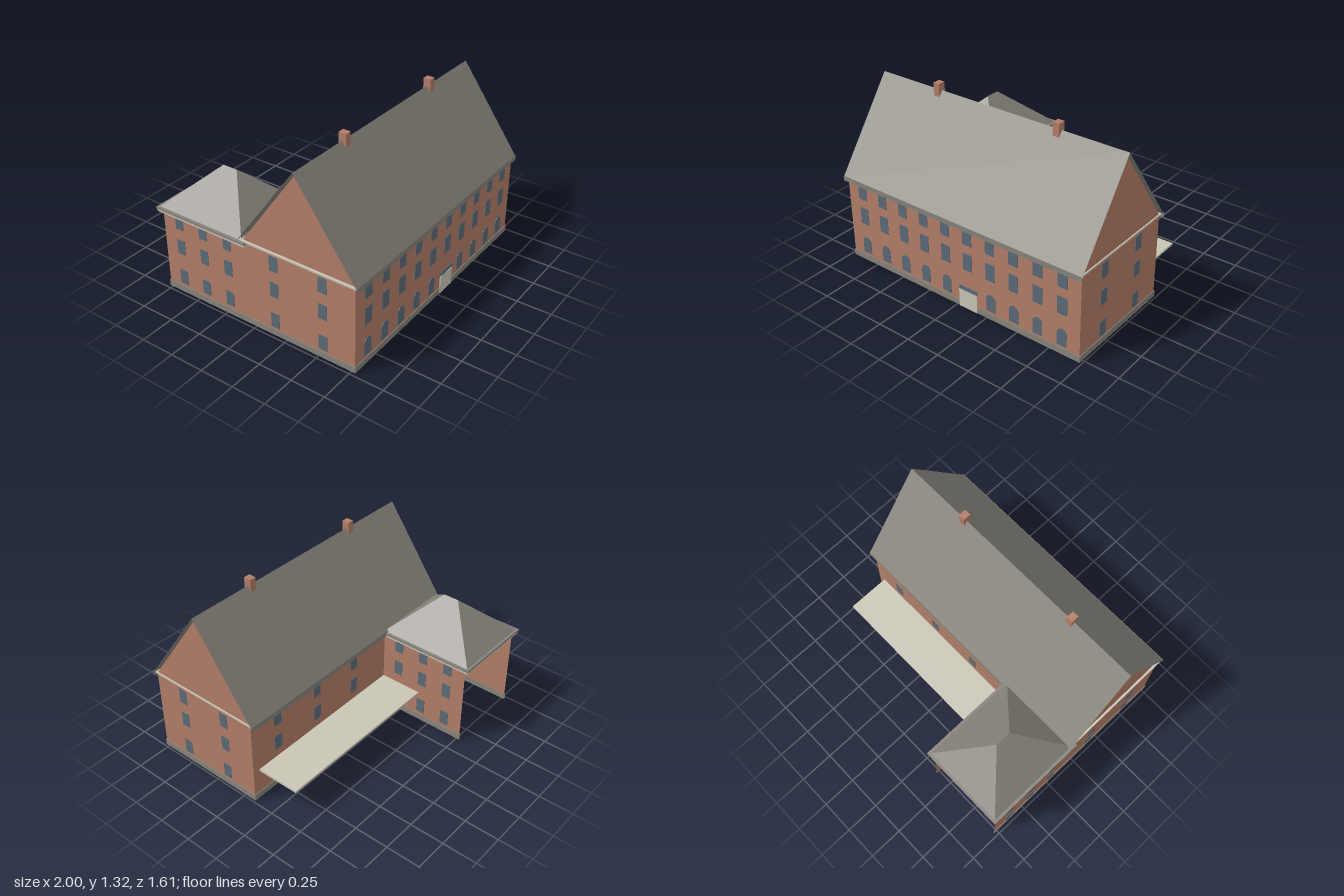
import * as THREE from 'three';

const mat = (name, color) => {
  const m = new THREE.MeshStandardMaterial({ color, side: THREE.DoubleSide });
  m.name = name;
  return m;
};

export function createModel() {
  const brick = mat('brick', 0xb37e69);
  const slate = mat('slate grey', 0x87837b);
  const glass = mat('window blue', 0x5b6b78);
  const cream = mat('cream', 0xc9c5b6);

  const model = new THREE.Group();
  model.name = 'building';
  const group = (name) => {
    const g = new THREE.Group();
    g.name = name;
    model.add(g);
    return g;
  };
  const add = (parent, name, geo, material) => {
    const m = new THREE.Mesh(geo, material);
    m.name = name;
    parent.add(m);
    return m;
  };
  // Box given by its lower and upper limits
  const box = (parent, name, material, x0, x1, y0, y1, z0, z1) =>
    add(parent, name, new THREE.BoxGeometry(x1 - x0, y1 - y0, z1 - z0), material)
      .position.set((x0 + x1) / 2, (y0 + y1) / 2, (z0 + z1) / 2);
  // Flat convex polygons, each fanned into triangles
  const sheet = (parent, name, material, ...polys) => {
    const pos = [];
    for (const p of polys)
      for (let i = 1; i < p.length - 1; i++) pos.push(...p[0], ...p[i], ...p[i + 1]);
    const geo = new THREE.BufferGeometry();
    geo.setAttribute('position', new THREE.Float32BufferAttribute(pos, 3));
    geo.computeVertexNormals();
    return add(parent, name, geo, material);
  };

  const L = -0.97, R = 0.98, F = 0.775, B = -0.085; // main block
  const WR = -0.38, WB = -0.77;                     // rear wing
  const EAVE = 0.635, RIDGE_Z = 0.345;

  // Brick shell, open underneath and at the back of the wing
  const walls = group('walls');
  const wallX = (name, x0, x1, z) => sheet(walls, name, brick,
    [[x0, 0, z], [x1, 0, z], [x1, EAVE, z], [x0, EAVE, z]]);
  const wallZ = (name, x, z0, z1) => sheet(walls, name, brick,
    [[x, 0, z0], [x, 0, z1], [x, 0.62, z1], [x, 0.62, z0]]);
  wallX('frontWall', L, R, F);
  wallX('backWall', R, L, B);
  sheet(walls, 'leftGableWall', brick,
    [[R, 0, F], [R, 0, B], [R, EAVE, B], [R, 1.24, RIDGE_Z], [R, EAVE, F]]);
  sheet(walls, 'rightGableWall', brick,
    [[L, 0, B], [L, 0, F], [L, EAVE, F], [L, 1.24, RIDGE_Z], [L, EAVE, B]]);
  wallZ('wingInnerWall', WR, B, WB);
  wallZ('wingOuterWall', L, WB, B);

  // Stone plinth, interrupted at the door
  const plinth = group('plinth');
  const P = 0.045, T = 0.005;
  box(plinth, 'plinthFrontRight', slate, L - T, 0.022, 0, P, F, F + T);
  box(plinth, 'plinthFrontLeft', slate, 0.172, R + T, 0, P, F, F + T);
  box(plinth, 'plinthLeft', slate, R, R + T, 0, P, B - T, F + T);
  box(plinth, 'plinthBack', slate, L, R + T, 0, P, B - T, B);
  box(plinth, 'plinthRight', slate, L - T, L, 0, P, WB - T, F + T);
  box(plinth, 'plinthWing', slate, WR, WR + T, 0, P, WB - T, B);

  // Front windows: two rectangular rows over one arched row
  const windows = group('windows');
  const arch = new THREE.Shape();
  arch.moveTo(-0.037, 0);
  arch.lineTo(0.037, 0);
  arch.lineTo(0.037, 0.092);
  arch.absarc(0, 0.092, 0.037, 0, Math.PI, false);
  arch.lineTo(-0.037, 0);
  const archGeo = new THREE.ExtrudeGeometry(arch, { depth: 0.006, bevelEnabled: false, curveSegments: 10 });
  for (let i = 0; i < 10; i++) {
    const x = -0.837 + i * 0.187;
    for (const y of [0.3, 0.495])
      box(windows, 'frontWindow', glass, x - 0.037, x + 0.037, y, y + 0.128, F + 0.001, F + 0.004);
    if (i !== 5) add(windows, 'archedWindow', archGeo, glass).position.set(x, 0.062, F - 0.003);
  }
  // Side windows, shared by both gables and both wing walls
  const sideWindow = (x, dir, z, y) => {
    const a = x + dir * 0.001, b = x + dir * 0.004;
    box(windows, 'sideWindow', glass, Math.min(a, b), Math.max(a, b), y, y + 0.111, z - 0.033, z + 0.033);
  };
  for (const y of [0.062, 0.3, 0.496])
    for (const z of [0.534, 0.159]) {
      sideWindow(R, 1, z, y);
      sideWindow(L, -1, z, y);
    }
  for (const y of [0.07, 0.311, 0.505])
    for (const z of [-0.219, -0.425, -0.631]) {
      sideWindow(WR, 1, z, y);
      sideWindow(L, -1, z, y);
    }
  // Back windows
  for (let i = -2; i <= 2; i++)
    for (const y of [0.062, 0.3, 0.496]) {
      const x = -0.03 + i * 0.385;
      box(windows, 'backWindow', glass, x - 0.033, x + 0.033, y, y + 0.111, B - 0.004, B - 0.001);
    }

  // Entrance
  const entrance = group('entrance');
  box(entrance, 'door', cream, 0.022, 0.172, 0, 0.137, F + 0.001, F + 0.008);
  box(entrance, 'doorTransom', glass, 0.022, 0.174, 0.137, 0.166, F + 0.001, F + 0.006);

  // Main roof: thin slopes over an eaves slab, with fascias
  const roof = group('mainRoof');
  const x0 = -0.99, x1 = 0.997, top = 1.265, low = 0.632, zf = 0.8, zb = -0.115;
  sheet(roof, 'frontSlope', slate, [[x0, low, zf], [x1, low, zf], [x1, top, RIDGE_Z], [x0, top, RIDGE_Z]]);
  sheet(roof, 'backSlope', slate, [[x1, low, zb], [x0, low, zb], [x0, top, RIDGE_Z], [x1, top, RIDGE_Z]]);
  box(roof, 'eavesSlab', cream, -0.985, 0.988, 0.63, 0.642, -0.1, 0.787);
  sheet(roof, 'frontFascia', slate, [[x0, 0.608, zf], [x1, 0.608, zf], [x1, 0.645, zf], [x0, 0.645, zf]]);
  sheet(roof, 'backFascia', slate, [[x1, 0.608, zb], [WR, 0.608, zb], [WR, 0.645, zb], [x1, 0.645, zb]]);

  // Chimneys on the ridge
  for (const x of [-0.483, 0.489])
    box(model, 'chimney', brick, x - 0.024, x + 0.024, 1.15, 1.317, 0.319, 0.374);

  // Hipped wing roof on a cream soffit
  const wingRoof = group('wingRoof');
  box(wingRoof, 'wingSoffit', cream, -0.994, -0.359, 0.602, 0.619, -0.8, -0.055);
  box(wingRoof, 'wingEaves', slate, -0.999, -0.354, 0.619, 0.635, -0.805, -0.05);
  const a = [-0.98, 0.635, -0.085], b = [-0.372, 0.635, -0.085];
  const c = [-0.372, 0.635, -0.787], d = [-0.98, 0.635, -0.787];
  const r0 = [-0.675, 0.908, -0.37], r1 = [-0.675, 0.908, -0.482];
  sheet(wingRoof, 'hipSlopes', slate, [a, b, r0], [b, c, r1, r0], [c, d, r1], [d, a, r0, r1]);

  // Long canopy along the back
  box(model, 'backCanopy', cream, -0.925, 0.925, 0.22, 0.236, -0.402, B);

  return model;
}
